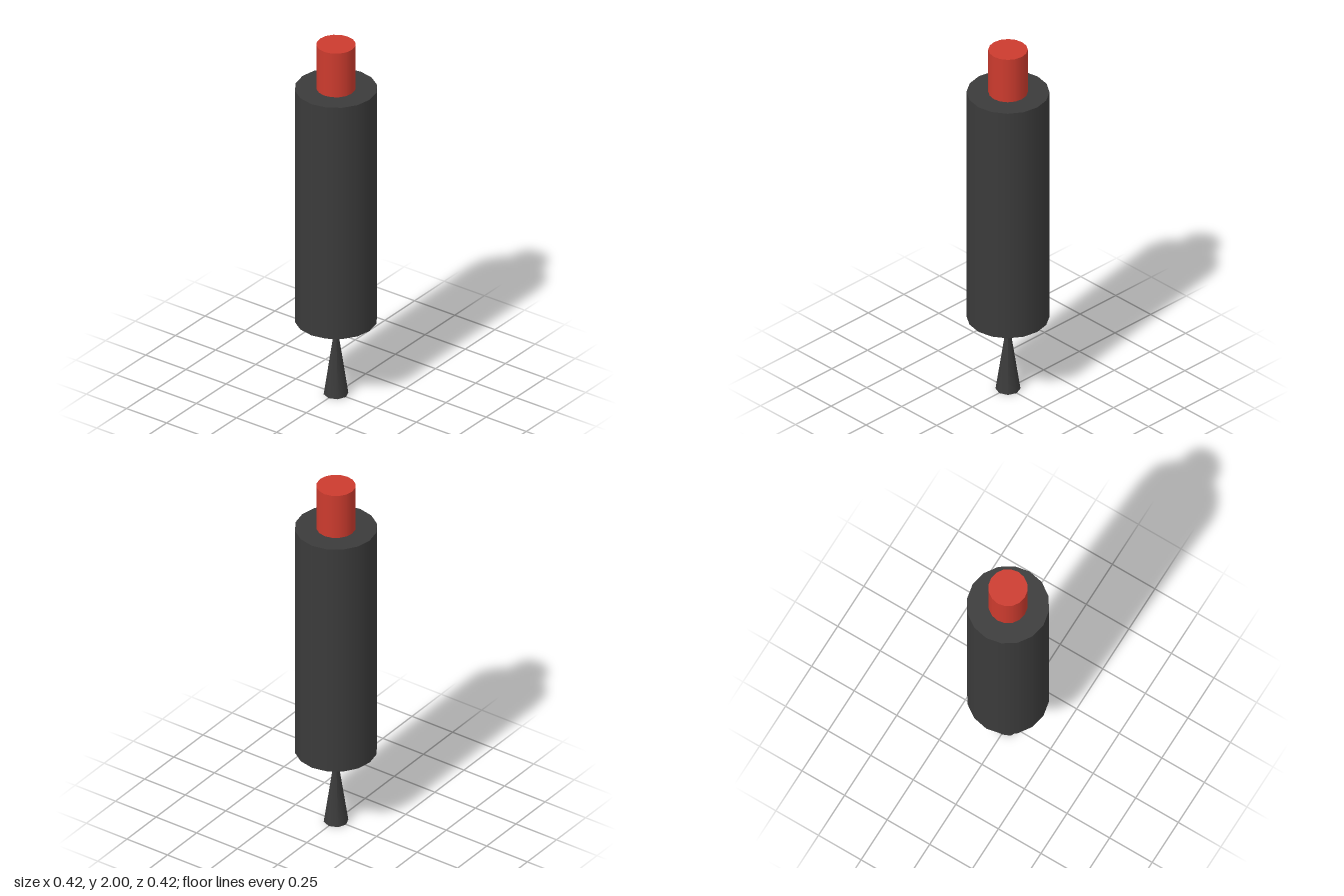
import * as THREE from 'three';

export function createModel() {
  const group = new THREE.Group();
  const charcoal = new THREE.MeshStandardMaterial({ color: 0x3b3b3b });
  charcoal.name = 'charcoal';
  const red = new THREE.MeshStandardMaterial({ color: 0xcc3b2e });
  red.name = 'red';

  // Adds an upright round part between two heights
  const addRound = (name, material, topRadius, bottomRadius, bottom, top, sides) => {
    const geometry = new THREE.CylinderGeometry(topRadius, bottomRadius, top - bottom, sides);
    const mesh = new THREE.Mesh(geometry, material);
    mesh.name = name;
    mesh.position.y = (bottom + top) / 2;
    group.add(mesh);
  };

  // Narrow cone with its point meeting the body
  addRound('baseCone', charcoal, 0, 0.0625, 0, 0.425, 8);
  // Long cylindrical handle
  addRound('body', charcoal, 0.208, 0.208, 0.425, 1.75, 16);
  // Push button on top
  addRound('button', red, 0.099, 0.099, 1.75, 2, 16);

  return group;
}
